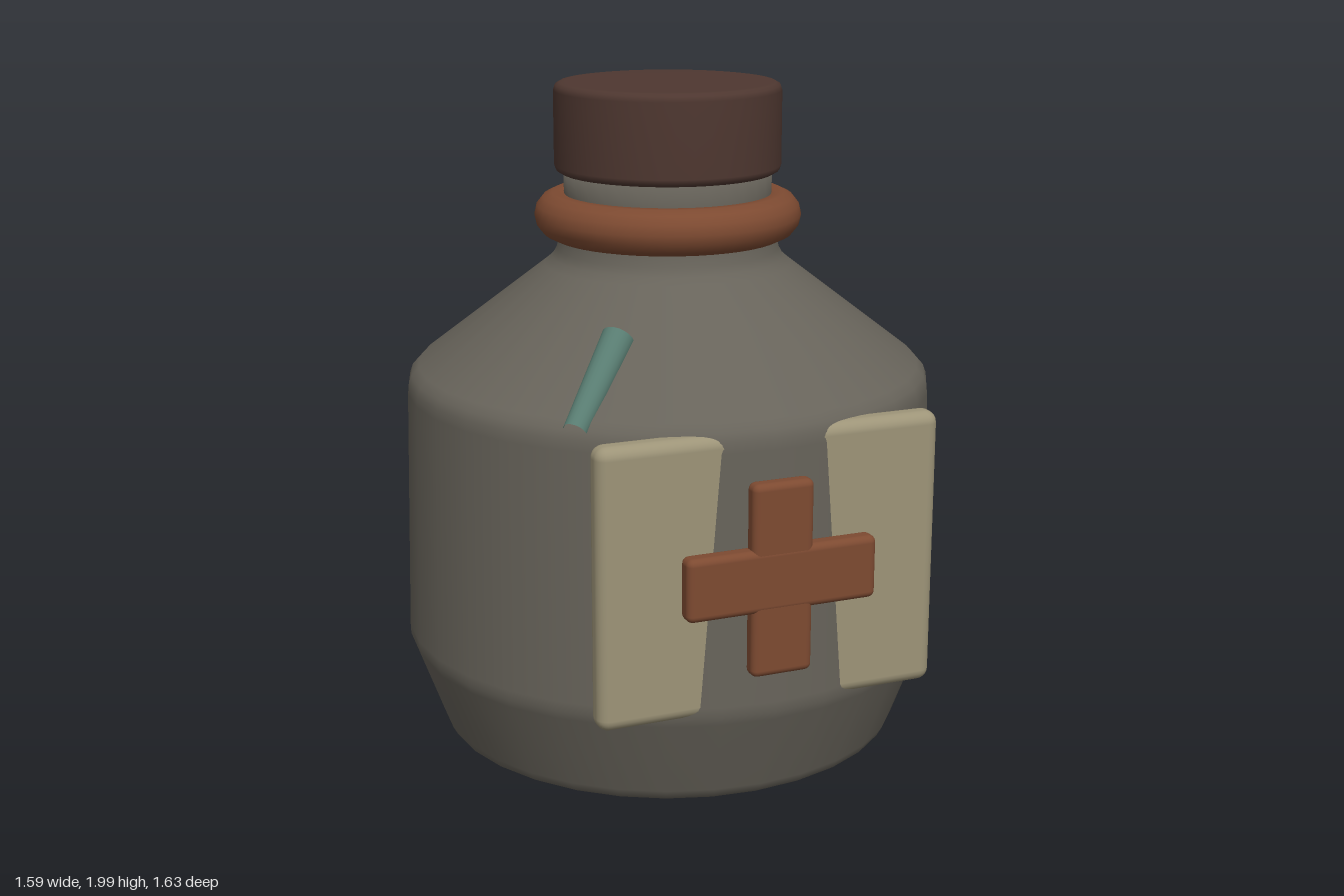
import * as THREE from 'three';
import { RoundedBoxGeometry } from 'three/addons/geometries/RoundedBoxGeometry.js';

const AXIS_Z = -0.016; // the bottle sits slightly behind centre, the badge balances it

const material = (name, color, side = THREE.FrontSide) => {
  const m = new THREE.MeshStandardMaterial({ color, side });
  m.name = name;
  return m;
};

export function createModel() {
  const group = new THREE.Group();
  const glass = material('smoky glass', 0x67635a);
  const cork = material('dark cap brown', 0x4e3730);
  const rust = material('rust', 0x7d4a31);
  const paper = material('label paper', 0x9d9478);
  const teal = material('teal glint', 0x587c71, THREE.DoubleSide);

  const add = (name, geometry, mat, x = 0, y = 0, z = AXIS_Z) => {
    const mesh = new THREE.Mesh(geometry, mat);
    mesh.name = name;
    mesh.position.set(x, y, z);
    group.add(mesh);
    return mesh;
  };
  const lathe = (points, segments) =>
    new THREE.LatheGeometry(points.map(([r, y]) => new THREE.Vector2(r, y)), segments);

  // Bottle: shallow pointed base, chamfered foot, sloped shoulder, neck
  add('bottle', lathe([
    [0, 0.008], [0.64, 0.047], [0.665, 0.052], [0.685, 0.064], [0.699, 0.09],
    [0.785, 0.325], [0.794, 0.35], [0.795, 0.38],
    [0.778, 1.1], [0.775, 1.13], [0.766, 1.155], [0.745, 1.178],
    [0.365, 1.47], [0.342, 1.49], [0.328, 1.515], [0.318, 1.56],
    [0.305, 1.68], [0.305, 1.76], [0, 1.76],
  ], 32), glass);

  // Cap with softened rims
  add('cap', lathe([
    [0, 1.738], [0.3, 1.738], [0.315, 1.74], [0.327, 1.747], [0.332, 1.762],
    [0.332, 1.976], [0.327, 1.991], [0.315, 1.998], [0.3, 2], [0, 2],
  ], 40), cork);

  // Collar around the neck
  const collar = new THREE.TorusGeometry(0.325, 0.067, 14, 48);
  collar.rotateX(Math.PI / 2);
  add('neckRing', collar, rust, 0, 1.615);

  // Flat label sunk into the round belly, with a cross badge in front
  add('label', new RoundedBoxGeometry(1.01, 0.8, 0.084, 3, 0.035), paper, 0, 0.75, 0.704);
  add('crossUpright', new RoundedBoxGeometry(0.18, 0.55, 0.056, 3, 0.02), rust, 0, 0.75, 0.79);
  add('crossBar', new RoundedBoxGeometry(0.56, 0.18, 0.06, 3, 0.02), rust, 0, 0.75, 0.789);

  // Glint: a tapered half tube lying on the shoulder
  const low = new THREE.Vector3(-0.5, 1.152, 0.56);
  const high = new THREE.Vector3(-0.315, 1.357, 0.4);
  const along = high.clone().sub(low);
  const glint = new THREE.CylinderGeometry(0.047, 0.034, along.length(), 10, 1, true, -Math.PI / 2, Math.PI);
  const up = along.normalize();
  const across = new THREE.Vector3(0.73, 0, 0.68);
  across.addScaledVector(up, -across.dot(up)).normalize();
  const outward = new THREE.Vector3().crossVectors(across, up);
  glint.applyMatrix4(new THREE.Matrix4().makeBasis(across, up, outward));
  const mid = low.add(high).multiplyScalar(0.5);
  add('shoulderGlint', glint, teal, mid.x, mid.y, mid.z);

  return group;
}
